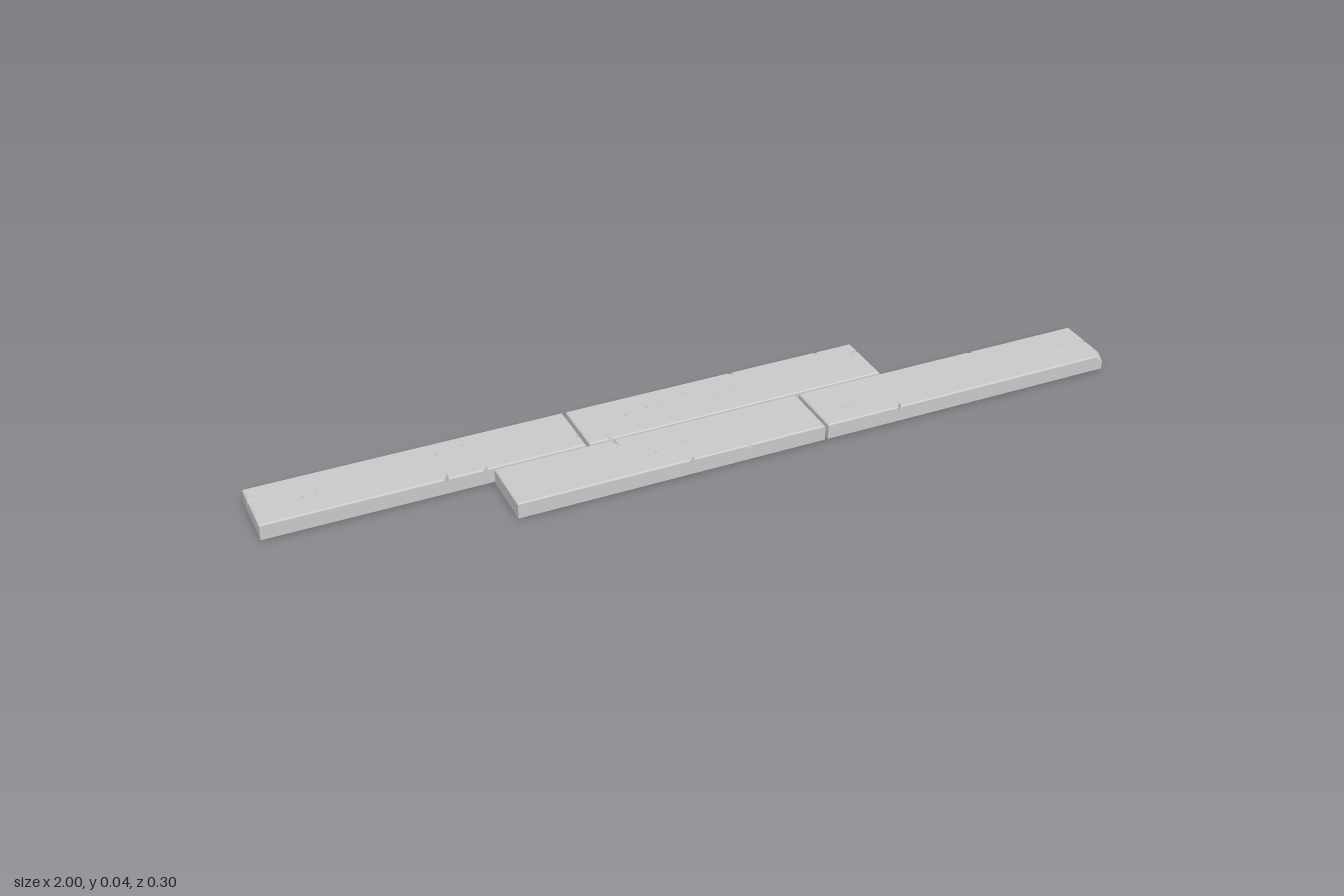
import * as THREE from 'three';
import { mergeGeometries } from 'three/addons/utils/BufferGeometryUtils.js';

const H = 0.038;      // plank thickness
const BEVEL = 0.003;  // chamfer around the top

// Collects flat quads, corners counter-clockwise seen from outside
function quadGeometry(quads) {
  const pos = [];
  for (const [a, b, c, d] of quads) pos.push(...a, ...b, ...c, ...a, ...c, ...d);
  const g = new THREE.BufferGeometry();
  g.setAttribute('position', new THREE.Float32BufferAttribute(pos, 3));
  g.computeVertexNormals();
  return g;
}

// One lens-shaped V groove between parameters t0 and t1 of a curve in the top face
function groove(curve, t0, t1, width, depth, steps) {
  const left = [], right = [], mid = [];
  for (let i = 0; i <= steps; i++) {
    const t = t0 + (t1 - t0) * i / steps;
    const p = curve.getPoint(t), d = curve.getTangent(t);
    const s = Math.sin(Math.PI * i / steps), w = width * s / 2;
    left.push([p.x + d.y * w, H, p.y - d.x * w]);
    right.push([p.x - d.y * w, H, p.y + d.x * w]);
    mid.push([p.x, H - depth * s, p.y]);
  }
  const quads = [];
  for (let i = 0; i < steps; i++) {
    quads.push([right[i], right[i + 1], mid[i + 1], mid[i]]);
    quads.push([mid[i], mid[i + 1], left[i + 1], left[i]]);
  }
  const hole = [...right.slice(0, -1), ...left.slice(1).reverse()];
  return { quads, hole: hole.map(([x, , z]) => new THREE.Vector2(x, -z)) };
}

// A crack is a smooth path, cut into dashes when it is broken up
function crack({ path, dashes = 1, width = 0.008, depth = 0.012 }) {
  const curve = new THREE.SplineCurve(path.map(([x, z]) => new THREE.Vector2(x, z)));
  const out = [];
  for (let i = 0; i < dashes; i++) {
    const gap = dashes > 1 ? 0.12 + 0.1 * (i % 2) : 0;
    out.push(groove(curve, (i + gap) / dashes, (i + 1 - gap) / dashes, width, depth, dashes > 1 ? 4 : 10));
  }
  return out;
}

// Plank with chamfered top, edge nicks, an optional chipped corner, and cracks
function plank(name, [x0, x1, z0, z1], { nicks = [], chip = 0, cracks = [] }) {
  const sides = [
    { side: 'front', a: [x0, z1], b: [x1, z1] },
    { side: 'right', a: [x1, z1], b: [x1, z0] },
    { side: 'back', a: [x1, z0], b: [x0, z0] },
    { side: 'left', a: [x0, z0], b: [x0, z1] },
  ];
  const rim = [], top = [];
  const inset = (x, z) => [
    THREE.MathUtils.clamp(x, x0 + BEVEL, x1 - BEVEL), H,
    THREE.MathUtils.clamp(z, z0 + BEVEL, z1 - BEVEL)];
  const add = (x, z) => { rim.push([x, H - BEVEL, z]); top.push(inset(x, z)); };

  for (const { side, a, b } of sides) {
    const along = a[0] !== b[0] ? 0 : 1;
    const dir = Math.sign(b[along] - a[along]);
    const at = v => (along === 0 ? [v, a[1]] : [a[0], v]);
    const chipped = chip && side === 'right';
    if (chipped) {
      // broken front right corner
      add(x1 - chip, z1);
      rim.push([x1, H - chip * 0.8, z1]);
      top.push([x1 - chip * 0.6, H, z1 - chip * 0.6]);
      add(x1, z1 - chip);
    } else add(...a);
    const own = nicks.filter(n => n.side === side).sort((m, n) => dir * (m.at - n.at));
    for (const { at: v, lean = 0.006, len = 0.018, w = 0.005 } of own) {
      const [mx, mz] = at(v);
      const inward = along === 0 ? [lean, dir * -len] : [dir * len, lean];
      add(...at(v - dir * w));
      rim.push([mx, H - 0.013, mz]);
      top.push([mx + inward[0], H, mz + inward[1]]);
      add(...at(v + dir * w));
    }
  }

  // Side walls, chamfer and underside
  const quads = [];
  rim.forEach((r, i) => {
    const j = (i + 1) % rim.length, s = rim[j];
    quads.push([[r[0], 0, r[2]], [s[0], 0, s[2]], s, r]);
    quads.push([r, s, top[j], top[i]]);
  });
  quads.push([[x0, 0, z0], [x1, 0, z0], [x1, 0, z1], [x0, 0, z1]]);

  // Top face with the cracks cut out of it
  const shape = new THREE.Shape(top.map(([x, , z]) => new THREE.Vector2(x, -z)));
  for (const g of cracks.flatMap(crack)) {
    shape.holes.push(new THREE.Path(g.hole));
    quads.push(...g.quads);
  }
  const face = new THREE.ShapeGeometry(shape).rotateX(-Math.PI / 2).translate(0, H, 0).toNonIndexed();
  face.deleteAttribute('uv');

  const mesh = new THREE.Mesh(
    mergeGeometries([quadGeometry(quads), face]),
    new THREE.MeshStandardMaterial({ color: 0xcccccc, flatShading: true }));
  mesh.name = name;
  return mesh;
}

export function createModel() {
  const group = new THREE.Group();
  group.name = 'floorPlanks';
  const back = [-0.149, -0.003], front = [0.003, 0.149];

  group.add(plank('backLeftPlank', [-1, -0.264, ...back], {
    nicks: [
      { side: 'front', at: -0.588 }, { side: 'front', at: -0.5, len: 0.01 },
      { side: 'left', at: -0.1, len: 0.025, lean: 0.01 }, { side: 'right', at: -0.045, len: 0.014 },
    ],
    cracks: [
      { path: [[-0.96, -0.123], [-0.9, -0.112], [-0.83, -0.1]] },
      { path: [[-0.895, -0.066], [-0.85, -0.076], [-0.805, -0.077]], dashes: 3, width: 0.01 },
      { path: [[-0.615, -0.1], [-0.56, -0.106], [-0.5, -0.118]], dashes: 4 },
      { path: [[-0.545, -0.08], [-0.46, -0.083], [-0.37, -0.071]] },
    ],
  }));

  group.add(plank('backRightPlank', [-0.256, 0.478, ...back], {
    nicks: [
      { side: 'front', at: -0.205, len: 0.026, lean: -0.006 }, { side: 'back', at: 0.155, len: 0.014 },
      { side: 'back', at: 0.38, len: 0.01 }, { side: 'right', at: -0.115, len: 0.024, lean: 0.012 },
    ],
    cracks: [
      { path: [[-0.225, -0.106], [-0.18, -0.1], [-0.13, -0.1]], dashes: 3 },
      { path: [[-0.19, -0.066], [-0.09, -0.088], [0.03, -0.11]], dashes: 8 },
      { path: [[0.07, -0.073], [0.15, -0.086]], dashes: 2 },
      { path: [[0.135, -0.12], [0.19, -0.108], [0.245, -0.104]], dashes: 3 },
      { path: [[0.29, -0.085], [0.34, -0.075], [0.39, -0.06]], dashes: 4 },
      { path: [[0.35, -0.1], [0.43, -0.085]], dashes: 2 },
    ],
  }));

  group.add(plank('frontLeftPlank', [-0.482, 0.254, ...front], {
    nicks: [
      { side: 'back', at: -0.205, len: 0.026 }, { side: 'front', at: 0.065, lean: -0.006 },
      { side: 'front', at: -0.075, len: 0.01 },
    ],
    cracks: [
      { path: [[-0.477, 0.071], [-0.42, 0.07], [-0.364, 0.066]] },
      { path: [[-0.32, 0.052], [-0.22, 0.058], [-0.12, 0.055], [-0.03, 0.045]] },
      { path: [[-0.16, 0.1], [-0.11, 0.082], [-0.05, 0.073]], dashes: 5 },
      { path: [[0.07, 0.067], [0.16, 0.066], [0.248, 0.067]] },
    ],
  }));

  group.add(plank('frontRightPlank', [0.262, 1, ...front], {
    chip: 0.02,
    nicks: [
      { side: 'front', at: 0.445, lean: 0.008 }, { side: 'back', at: 0.715, len: 0.01 },
      { side: 'right', at: 0.115, len: 0.03, lean: -0.01 }, { side: 'right', at: 0.075, len: 0.028, lean: 0.008 },
    ],
    cracks: [
      { path: [[0.268, 0.099], [0.33, 0.094], [0.395, 0.082]] },
      { path: [[0.44, 0.048], [0.555, 0.045]], dashes: 4 },
      { path: [[0.49, 0.093], [0.56, 0.088], [0.63, 0.083]], dashes: 5 },
      { path: [[0.65, 0.083], [0.75, 0.075], [0.85, 0.055]], width: 0.005, depth: 0.005 },
      { path: [[0.885, 0.08], [0.92, 0.093], [0.96, 0.108]], width: 0.01 },
    ],
  }));
  return group;
}
